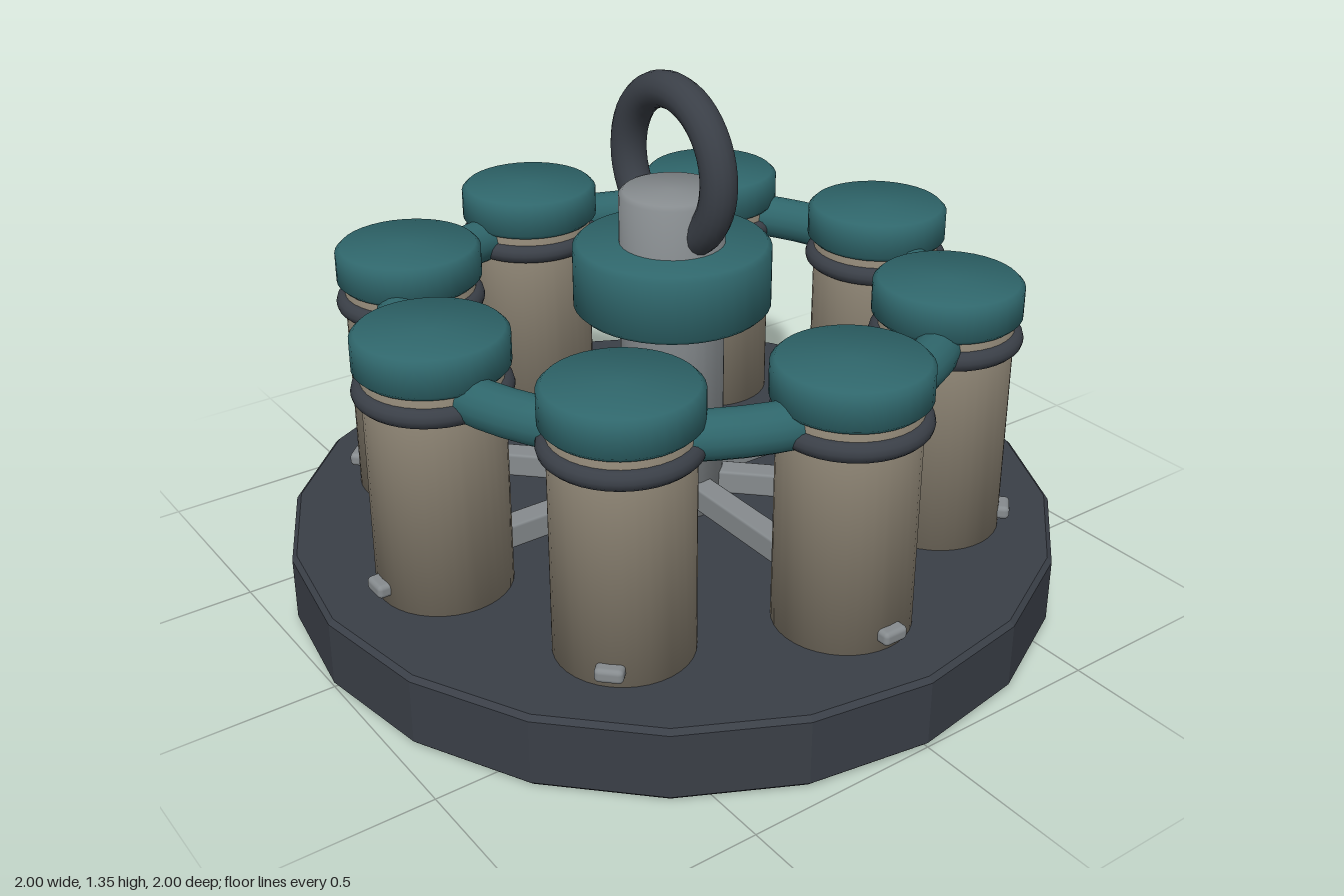
import * as THREE from 'three';
import { toCreasedNormals } from 'three/addons/utils/BufferGeometryUtils.js';
import { RoundedBoxGeometry } from 'three/addons/geometries/RoundedBoxGeometry.js';

const COUNT = 8, RING = 0.685;

function material(name, color) {
  const m = new THREE.MeshStandardMaterial({ color });
  m.name = name;
  return m;
}

// Closed disc or column with a small bevel on both rims
function disc(radius, y0, y1, bevel, sides, crease = 0.9) {
  const profile = [
    [0, y0], [radius - bevel, y0], [radius, y0 + bevel],
    [radius, y1 - bevel], [radius - bevel, y1], [0, y1],
  ].map(([x, y]) => new THREE.Vector2(x, y));
  return toCreasedNormals(new THREE.LatheGeometry(profile, sides), crease);
}

function add(parent, name, geometry, mat, x = 0, y = 0, z = 0) {
  const mesh = new THREE.Mesh(geometry, mat);
  mesh.name = name;
  mesh.position.set(x, y, z);
  parent.add(mesh);
  return mesh;
}

export function createModel() {
  const dark = material('dark slate', 0x3a3f47);
  const teal = material('teal', 0x2f666b);
  const beige = material('warm taupe', 0x8c8373);
  const steel = material('steel grey', 0x868b8e);
  const model = new THREE.Group();
  model.name = 'canisterCarousel';

  // Twenty-sided base plate
  add(model, 'base', disc(1, 0, 0.19, 0.012, 20, 0.1), dark);

  // Central column, collar and lifting ring
  add(model, 'column', disc(0.133, 0.18, 1.055, 0.01, 32), steel);
  add(model, 'collar', disc(0.25, 0.745, 0.92, 0.012, 40), teal);
  const lift = add(model, 'liftingRing', new THREE.TorusGeometry(0.188, 0.046, 16, 48), dark, 0, 1.117, 0);
  lift.rotation.y = Math.PI / 2;

  // Pipe joining all the canisters
  const pipe = add(model, 'ringPipe', new THREE.TorusGeometry(RING, 0.058, 16, 64), teal, 0, 0.74, 0);
  pipe.rotation.x = Math.PI / 2;

  // Shared canister geometry
  const body = disc(0.168, 0.18, 0.79, 0.005, 36);
  const cap = disc(0.186, 0.767, 0.866, 0.012, 36);
  const seal = new THREE.TorusGeometry(0.166, 0.025, 12, 40).rotateX(Math.PI / 2);
  const stud = new RoundedBoxGeometry(0.068, 0.036, 0.06, 2, 0.012);
  const spoke = new RoundedBoxGeometry(0.064, 0.066, 0.52, 1, 0.008);

  // Each station faces outward along its own +z
  for (let i = 0; i < COUNT; i++) {
    const station = new THREE.Group();
    station.name = 'station' + (i + 1);
    station.rotation.y = (i / COUNT) * Math.PI * 2;
    add(station, 'canister', body, beige, 0, 0, RING);
    add(station, 'cap', cap, teal, 0, 0, RING);
    add(station, 'seal', seal, dark, 0, 0.72, RING);
    add(station, 'stud', stud, steel, 0, 0.233, 0.85);
    add(station, 'spoke', spoke, steel, 0, 0.257, 0.34);
    model.add(station);
  }
  return model;
}
